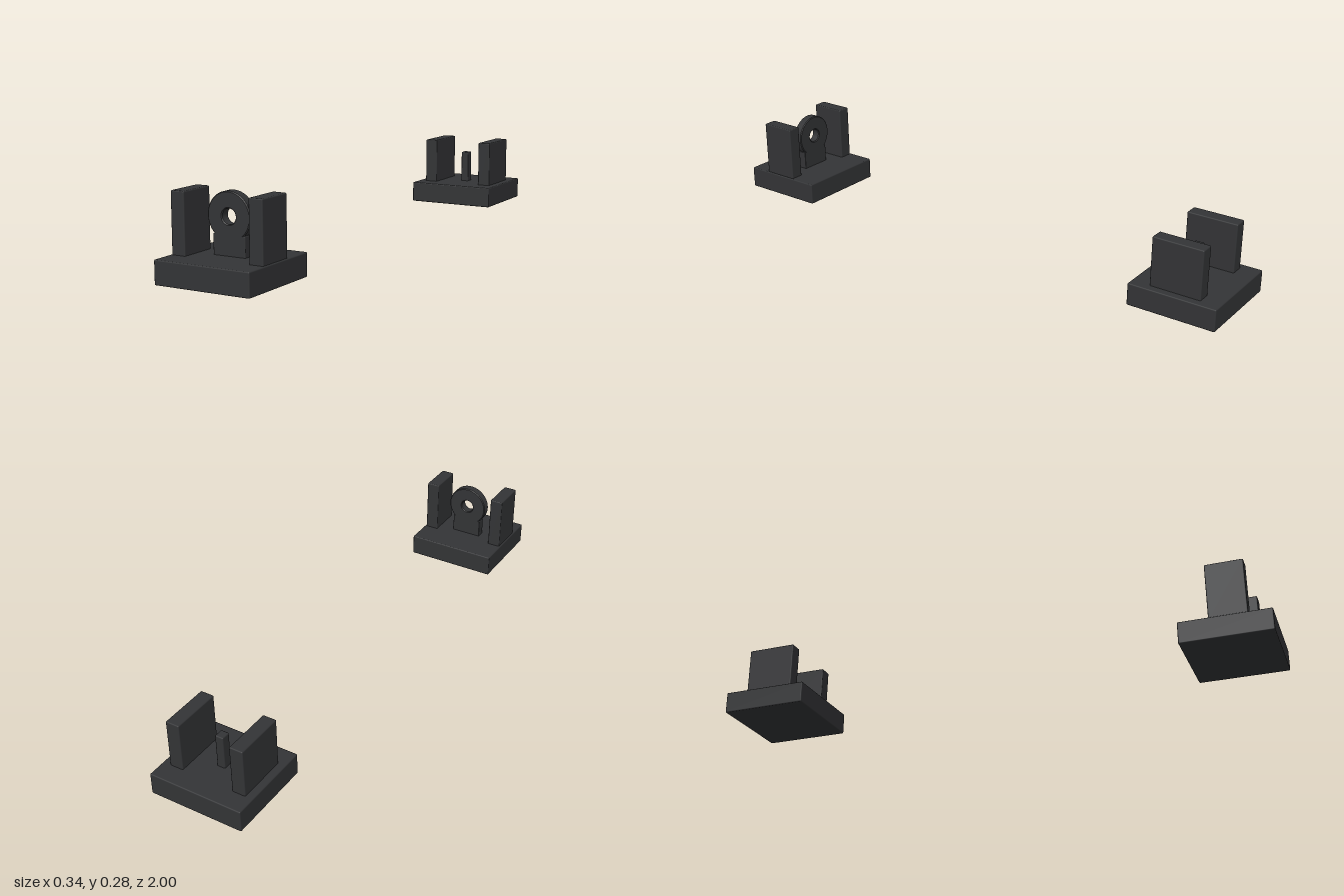
import * as THREE from 'three';
import { RoundedBoxGeometry } from 'three/addons/geometries/RoundedBoxGeometry.js';

const dark = new THREE.MeshStandardMaterial({ color: 0x333436 });

// Softly bevelled block given by its centre x/z, bottom and top heights
function block(name, x, z, bottom, top, width, depth, bevel = 0.004) {
  const mesh = new THREE.Mesh(new RoundedBoxGeometry(width, top - bottom, depth, 2, bevel), dark);
  mesh.name = name;
  mesh.position.set(x, (bottom + top) / 2, z);
  return mesh;
}

// Base block with a mirrored pair of protective walls
function mount(name, baseZ, wall) {
  const group = new THREE.Group();
  group.name = name;
  group.add(block('base', 0, baseZ, 0, 0.078, 0.34, 0.312));
  for (const side of [1, -1]) {
    group.add(block(side > 0 ? 'leftWall' : 'rightWall',
      side * wall.x, wall.z, 0.07, wall.top, wall.width, wall.depth));
  }
  return group;
}

// Bevelled ring with a round aperture
function apertureRing() {
  const bevel = 0.003, depth = 0.034;
  const shape = new THREE.Shape().absarc(0, 0, 0.077 - bevel, 0, Math.PI * 2, false);
  shape.holes.push(new THREE.Path().absarc(0, 0, 0.0245 + bevel, 0, Math.PI * 2, true));
  const geometry = new THREE.ExtrudeGeometry(shape, {
    depth: depth - 2 * bevel, curveSegments: 28,
    bevelEnabled: true, bevelSize: bevel, bevelThickness: bevel, bevelSegments: 1,
  });
  geometry.translate(0, 0, bevel - depth / 2);
  const mesh = new THREE.Mesh(geometry, dark);
  mesh.name = 'apertureRing';
  return mesh;
}

export function createModel() {
  const model = new THREE.Group();
  model.name = 'sightPair';

  // Ring sight at the +z end
  const ringSight = mount('ringSight', 0.844, { x: 0.14, z: 0.855, top: 0.275, width: 0.049, depth: 0.13 });
  const ring = apertureRing();
  ring.position.set(0, 0.199, 0.839);
  ringSight.add(ring, block('ringStem', 0, 0.839, 0.07, 0.144, 0.116, 0.034, 0.003));

  // Post sight at the -z end
  const postSight = mount('postSight', -0.844, { x: 0.118, z: -0.843, top: 0.25, width: 0.049, depth: 0.18 });
  postSight.add(block('post', 0, -0.844, 0.07, 0.198, 0.03, 0.034, 0.004));

  model.add(ringSight, postSight);
  return model;
}
